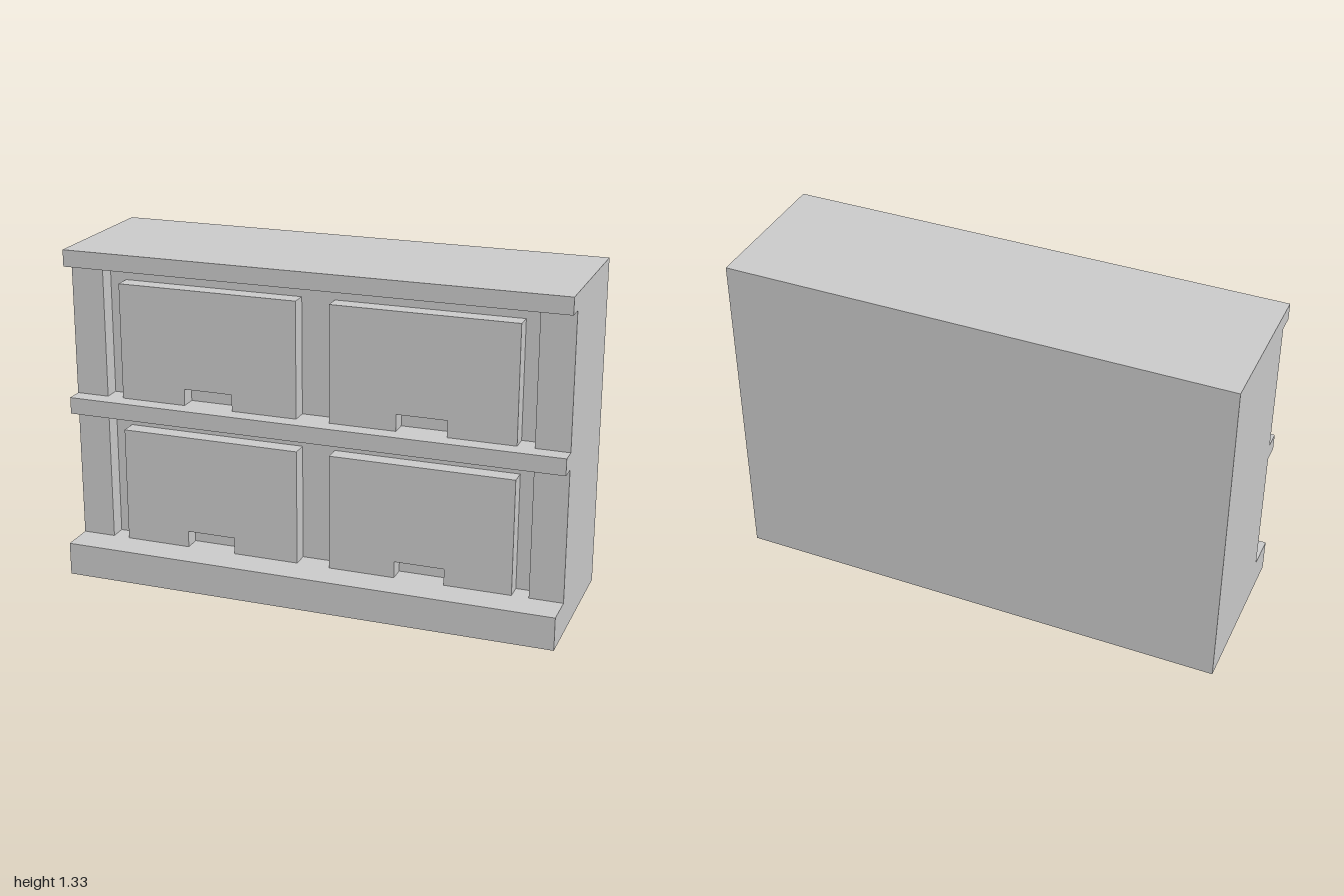
import * as THREE from 'three';

const U = 1 / 15; // design module: the unit is 30 x 20 x 10 modules

export function createModel() {
  const group = new THREE.Group();
  const material = new THREE.MeshStandardMaterial({ color: 0xcccccc, flatShading: true });

  const add = (name, geometry) => {
    const mesh = new THREE.Mesh(geometry, material);
    mesh.name = name;
    group.add(mesh);
    return mesh;
  };

  // Box given by its limits in modules
  const box = (name, x0, x1, y0, y1, z0, z1) =>
    add(name, new THREE.BoxGeometry((x1 - x0) * U, (y1 - y0) * U, (z1 - z0) * U))
      .position.set((x0 + x1) / 2 * U, (y0 + y1) / 2 * U, (z0 + z1) / 2 * U);

  // Solid carcass behind the recessed front
  box('carcass', -15, 15, 0, 20, -5, 2);

  // Projecting horizontal boards
  box('base', -15, 15, 0, 2, 2, 5);
  box('middleShelf', -15, 15, 10, 11, 2, 4);
  box('topBoard', -15, 15, 19, 20, 2, 4);

  // Drawer front with a finger notch in the bottom edge
  const outline = [[-5.5, 0], [-1.5, 0], [-1.5, 1], [1.5, 1], [1.5, 0], [5.5, 0], [5.5, 7], [-5.5, 7]];
  const shape = new THREE.Shape(outline.map(([x, y]) => new THREE.Vector2(x * U, y * U)));
  const drawerGeometry = new THREE.ExtrudeGeometry(shape, { depth: U, bevelEnabled: false });

  // Two rows, each with corner stiles and a pair of drawer fronts
  for (const [row, y0, y1] of [['lower', 2, 10], ['upper', 11, 19]]) {
    for (const [side, s] of [['Left', 1], ['Right', -1]]) {
      box(`${row}${side}Stile`, s * 14 - 1, s * 14 + 1, y0, y1, 2, 3);
      add(`${row}${side}DrawerFront`, drawerGeometry).position.set(s * 6.5 * U, y0 * U, 2 * U);
    }
  }
  return group;
}
